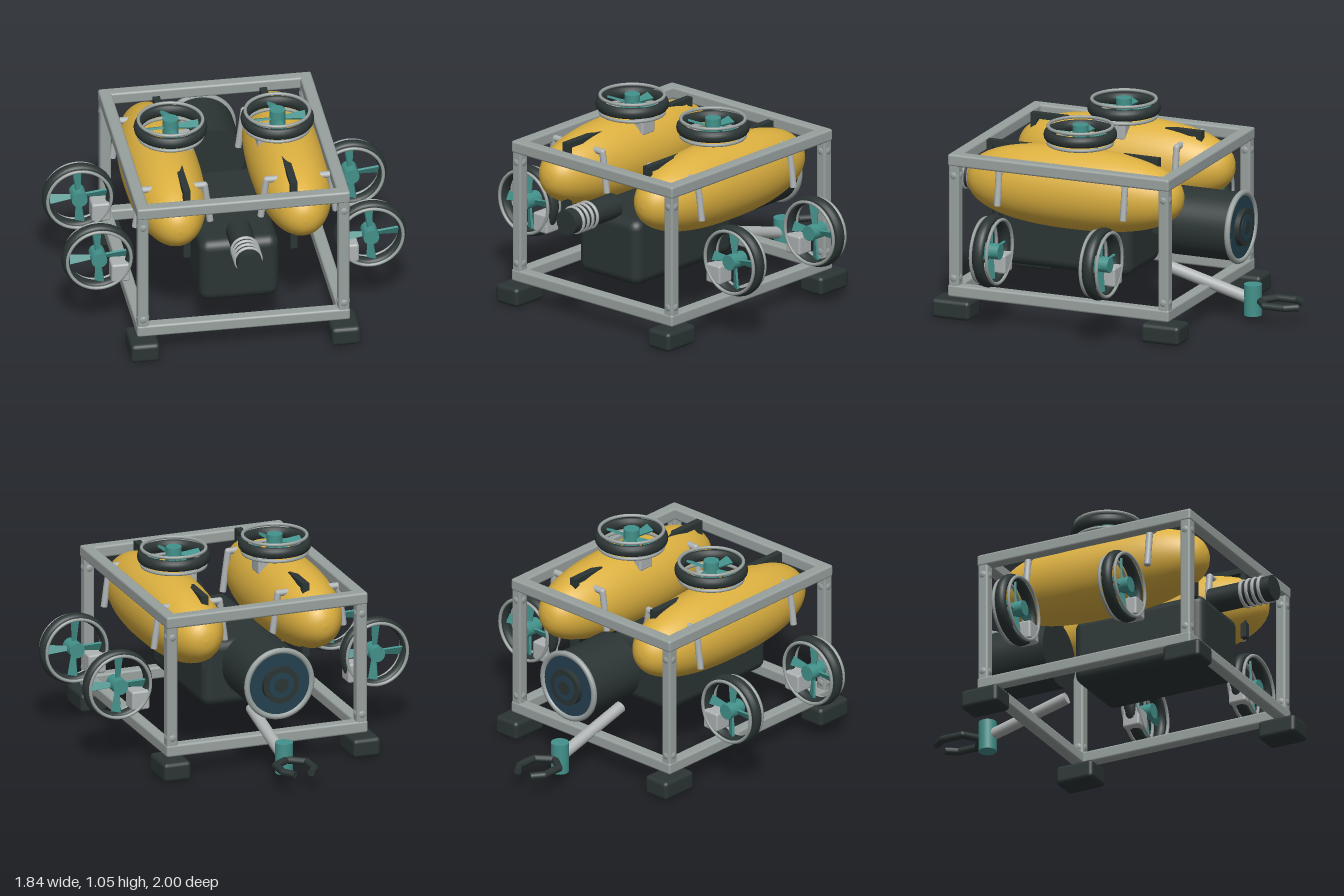
import * as THREE from 'three';
import { RoundedBoxGeometry } from 'three/addons/geometries/RoundedBoxGeometry.js';

const mat = (name, color) => {
  const m = new THREE.MeshStandardMaterial({ color });
  m.name = name;
  return m;
};

export function createModel() {
  const root = new THREE.Group();
  root.name = 'underwaterVehicle';
  const yellow = mat('float yellow', 0xdcb040);
  const dark = mat('charcoal', 0x2b3434);
  const grey = mat('frame grey', 0x98a19f);
  const pale = mat('bracket grey', 0xaeb2b2);
  const teal = mat('teal', 0x43918b);
  const blue = mat('lens blue', 0x24404f);

  const add = (name, geo, m, x = 0, y = 0, z = 0, parent = root) => {
    const mesh = new THREE.Mesh(geo, m);
    mesh.name = name;
    mesh.position.set(x, y, z);
    parent.add(mesh);
    return mesh;
  };
  const box = (w, h, d, r = 0.012) => new RoundedBoxGeometry(w, h, d, 2, r);
  // Cylinder lying along z
  const cylZ = (r, len, seg = 32) => new THREE.CylinderGeometry(r, r, len, seg).rotateX(Math.PI / 2);
  // Straight rod between two points
  const rod = (name, a, b, r, m, seg = 12, parent = root) => {
    const A = new THREE.Vector3(...a), B = new THREE.Vector3(...b);
    const dir = B.clone().sub(A);
    const mesh = add(name, new THREE.CylinderGeometry(r, r, dir.length(), seg), m, 0, 0, 0, parent);
    mesh.position.copy(A).add(B).multiplyScalar(0.5);
    mesh.quaternion.setFromUnitVectors(new THREE.Vector3(0, 1, 0), dir.normalize());
    return mesh;
  };
  const rods = (name, pts, r, m, seg, parent) => {
    for (let i = 1; i < pts.length; i++) {
      rod(name, pts[i - 1], pts[i], r, m, seg, parent);
      if (i < pts.length - 1) add(name + 'Joint', new THREE.SphereGeometry(r, 12, 8), m, ...pts[i], parent);
    }
  };

  // Frame cage
  const FX = 0.535, Z0 = -0.437, Z1 = 0.767, ZC = (Z0 + Z1) / 2, T = 0.066;
  for (const y of [0.145, 0.858]) {
    for (const z of [Z0, Z1]) add('crossRail', box(2 * FX + T, T, T), grey, 0, y, z);
    for (const s of [-1, 1]) add('sideRail', box(T, T, Z1 - Z0 + T), grey, s * FX, y, ZC);
  }
  for (const s of [-1, 1]) for (const z of [Z0, Z1]) {
    add('cornerPost', box(0.06, 0.72, 0.06), grey, s * FX, 0.5, z);
    for (const y of [0.215, 0.775]) add('postBolt', new THREE.SphereGeometry(0.036, 16, 12), grey, s * FX, y, z);
    add('foot', box(0.155, 0.105, 0.22, 0.022), dark, s * FX, 0.0525, z);
  }

  // Ducted thruster, axis along z
  const bladeShape = new THREE.Shape();
  bladeShape.moveTo(-0.012, 0.03);
  bladeShape.lineTo(0.012, 0.03);
  bladeShape.lineTo(0.026, 0.152);
  bladeShape.lineTo(-0.026, 0.152);
  const bladeGeo = new THREE.ExtrudeGeometry(bladeShape, { depth: 0.012, bevelEnabled: false }).translate(0, 0, -0.006);
  const ductGeo = new THREE.TorusGeometry(0.172, 0.022, 12, 48).scale(1, 1, 1.4);
  const guardGeo = new THREE.TorusGeometry(0.17, 0.009, 8, 48);
  const thruster = (name, x, y, z) => {
    const g = new THREE.Group();
    g.name = name;
    g.position.set(x, y, z);
    add('duct', ductGeo, dark, 0, 0, 0, g);
    for (const s of [-1, 1]) add('guardRing', guardGeo, grey, 0, 0, s * 0.046, g);
    add('hub', cylZ(0.042, 0.105, 20), teal, 0, 0, 0, g);
    for (let i = 0; i < 4; i++) {
      const arm = new THREE.Group();
      arm.name = 'propeller';
      arm.rotation.z = i * Math.PI / 2 + 0.05;
      add('blade', bladeGeo, teal, 0, 0, 0, arm).rotation.y = 0.45;
      g.add(arm);
    }
    root.add(g);
    return g;
  };

  // Float profile: a blunt spindle turned about its long axis
  const L = 0.612, profile = [];
  for (let i = 0; i <= 32; i++) {
    const t = -Math.cos(Math.PI * i / 32);
    profile.push(new THREE.Vector2(Math.pow(Math.max(0, 1 - Math.pow(Math.abs(t), 2.4)), 1 / 2.4), t * L));
  }
  const floatGeo = new THREE.LatheGeometry(profile, 48).rotateX(Math.PI / 2).scale(0.205, 0.22, 1);

  for (const s of [-1, 1]) {
    const cx = s * 0.335;
    add('float', floatGeo, yellow, cx, 0.72, ZC);
    // Grey straps gripping the float
    for (const z of [-0.195, 0.528]) {
      rods('strap', [[cx - 0.2, 0.63, z], [cx - 0.17, 0.85, z], [cx + 0.17, 0.85, z], [cx + 0.2, 0.63, z]], 0.018, pale);
    }
    // Dark fins with a leg at the outer end
    add('frontFin', new THREE.BoxGeometry(0.038, 0.03, 0.28), dark, s * 0.285, 0.9, 0.55);
    add('frontFinLeg', new THREE.BoxGeometry(0.038, 0.4, 0.032), dark, s * 0.285, 0.712, 0.674);
    add('rearFin', new THREE.BoxGeometry(0.038, 0.03, 0.21), dark, s * 0.285, 0.905, -0.19);
    add('rearFinLeg', new THREE.BoxGeometry(0.038, 0.4, 0.032), dark, s * 0.285, 0.712, -0.279);

    // Thrusters and their mounts
    thruster('liftThruster', s * 0.285, 1.0, 0.16).rotation.x = -Math.PI / 2;
    add('liftBracket', box(0.1, 0.1, 0.1), pale, s * 0.222, 0.9, 0.155);
    for (const z of [-0.153, 0.478]) {
      thruster('sideThruster', s * 0.725, 0.44, z);
      add('sideBracket', box(0.1, 0.105, 0.1), pale, s * 0.61, 0.35, z);
    }
  }

  // Central hull
  add('hull', new RoundedBoxGeometry(0.425, 0.365, 0.77, 3, 0.055), dark, 0, 0.3975, 0.295);

  // Front hose with ribs
  add('hose', cylZ(0.068, 0.37), dark, 0, 0.617, 0.815);
  for (let i = 0; i < 4; i++) {
    add('hoseRib', new THREE.TorusGeometry(0.068, 0.01, 8, 32), pale, 0, 0.617, 0.83 + i * 0.036);
  }

  // Rear camera drum with concentric lens
  const CY = 0.51;
  add('cameraDrum', cylZ(0.182, 0.355, 40), dark, 0, CY, -0.4575);
  add('cameraRim', new THREE.TorusGeometry(0.182, 0.016, 10, 48), grey, 0, CY, -0.638);
  add('lensGlass', cylZ(0.17, 0.008, 40), blue, 0, CY, -0.638);
  add('lensRing', cylZ(0.1, 0.03, 32), dark, 0, CY, -0.655);
  add('lensInner', cylZ(0.07, 0.006, 32), blue, 0, CY, -0.67);
  add('lensPupil', cylZ(0.038, 0.006, 24), dark, 0, CY, -0.673);

  // Manipulator arm, wrist and gripper
  rod('arm', [0, 0.245, -0.235], [0, 0.125, -0.69], 0.032, pale, 20);
  add('wrist', new THREE.CylinderGeometry(0.048, 0.048, 0.168, 24), teal, 0, 0.122, -0.706);
  for (const s of [-1, 1]) {
    rods('claw', [[0, 0.12, -0.745], [s * 0.088, 0.12, -0.81], [s * 0.088, 0.12, -0.925], [s * 0.045, 0.12, -0.985]], 0.02, dark);
  }
  return root;
}
